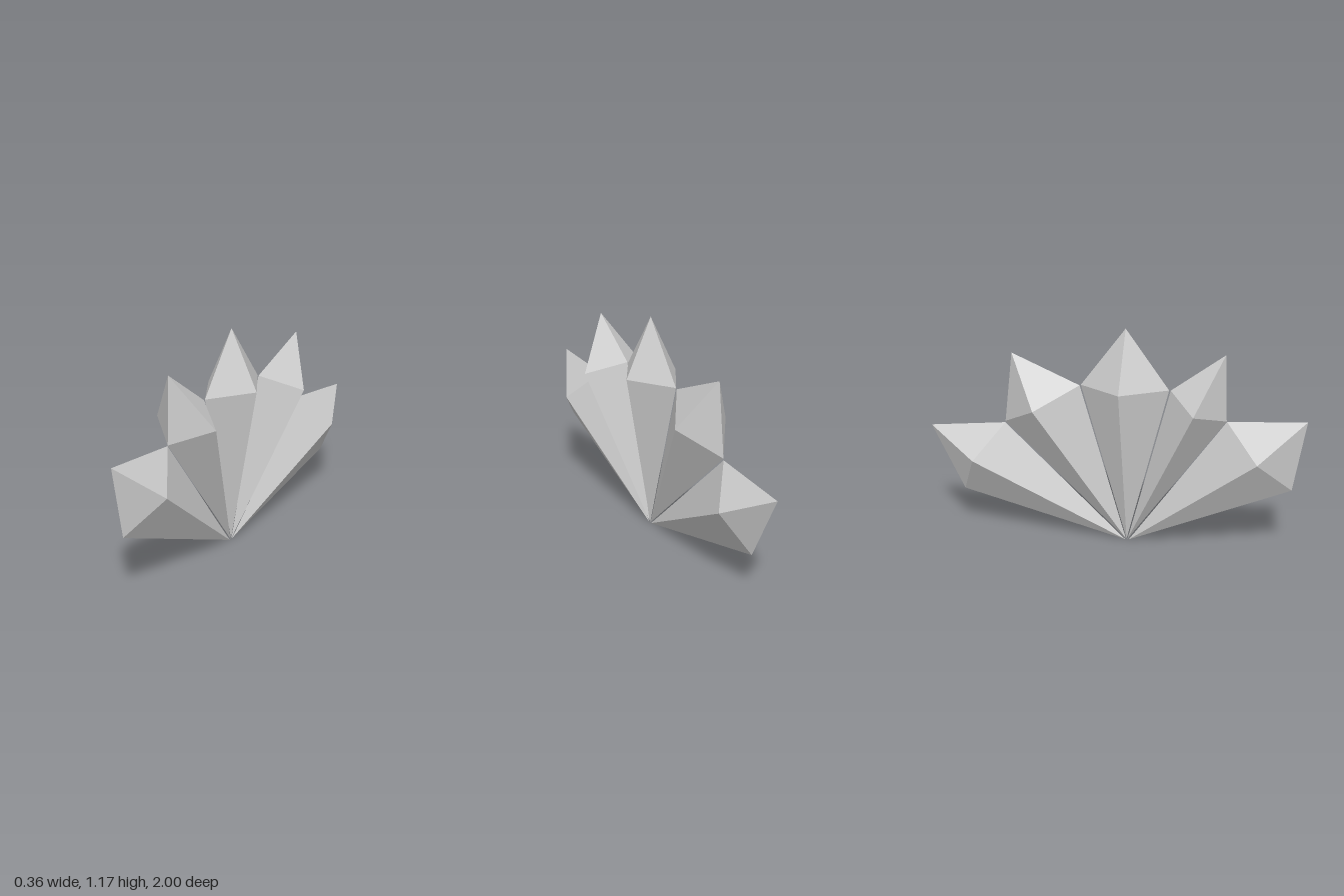
import * as THREE from 'three';

// Each crystal lies on the x = 0 plane; points are [z, y], halfWidth runs along x
const crystals = [
  { name: 'frontLowCrystal', root: [0.092, 0], front: [0.94, 0.37], back: [0.597, 0.715], waist: [0.77, 0.54], tip: [1.0, 0.745], halfWidth: 0.13 },
  { name: 'frontHighCrystal', root: [0.086, 0.005], front: [0.595, 0.717], back: [0.305, 0.86], waist: [0.45, 0.785], tip: [0.58, 1.065], halfWidth: 0.18 },
  { name: 'centreCrystal', root: [0.08, 0.005], front: [0.297, 0.86], back: [-0.165, 0.857], waist: [0.065, 0.86], tip: [0.07, 1.17], halfWidth: 0.15 },
  { name: 'backHighCrystal', root: [0.076, 0.005], front: [-0.172, 0.853], back: [-0.58, 0.625], waist: [-0.385, 0.74], tip: [-0.535, 1.005], halfWidth: 0.15 },
  { name: 'backLowCrystal', root: [0.072, 0], front: [-0.582, 0.617], back: [-0.825, 0.215], waist: [-0.73, 0.43], tip: [-1.0, 0.57], halfWidth: 0.13 },
];

// Four-sided spike: long faces from the root to a diamond waist, short faces to the tip
function crystalGeometry({ root, front, back, waist, tip, halfWidth }) {
  const point = ([z, y], x = 0) => [x, y, z];
  const ring = [point(front), point(waist, halfWidth), point(back), point(waist, -halfWidth)];
  const positions = [];
  for (let i = 0; i < 4; i++) {
    const a = ring[i];
    const b = ring[(i + 1) % 4];
    positions.push(...a, ...b, ...point(tip));
    positions.push(...b, ...a, ...point(root));
  }
  const geometry = new THREE.BufferGeometry();
  geometry.setAttribute('position', new THREE.Float32BufferAttribute(positions, 3));
  geometry.computeVertexNormals();
  return geometry;
}

export function createModel() {
  const group = new THREE.Group();
  group.name = 'crystalFan';
  const material = new THREE.MeshStandardMaterial({ color: 0xcccccc, flatShading: true });
  for (const crystal of crystals) {
    const mesh = new THREE.Mesh(crystalGeometry(crystal), material);
    mesh.name = crystal.name;
    group.add(mesh);
  }
  return group;
}
